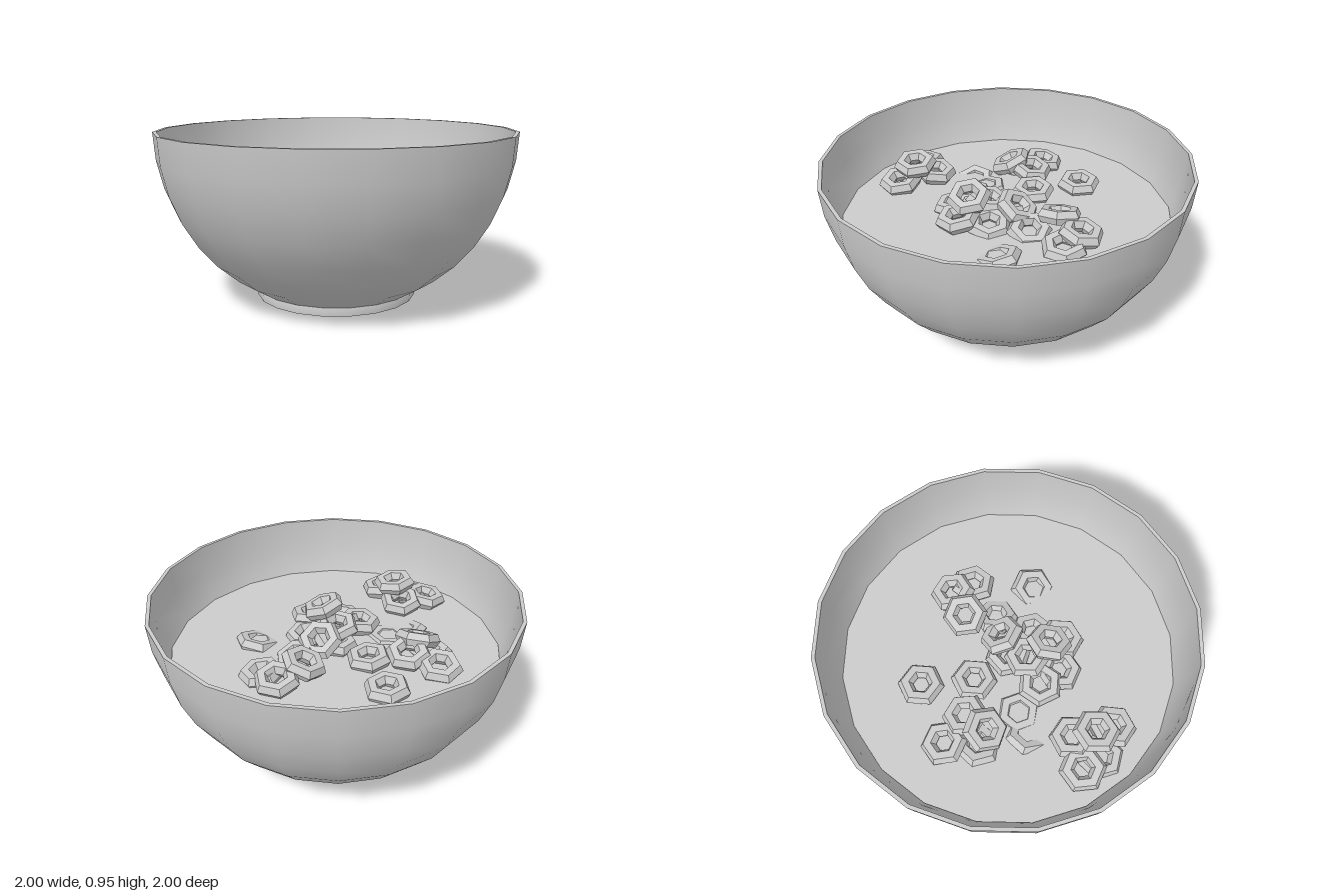
import * as THREE from 'three';

const SIDES = 20;
const RIM_Y = 0.95;
const MILK_Y = 0.615;

export function createModel() {
  const model = new THREE.Group();
  const smooth = new THREE.MeshStandardMaterial({ color: 0xcccccc });
  const faceted = new THREE.MeshStandardMaterial({ color: 0xcccccc, flatShading: true });

  // Profiles run bottom to top on the outside and top to bottom on the inside
  const lathe = (name, points, parent) => {
    const profile = points.map(([r, y]) => new THREE.Vector2(r, y));
    const mesh = new THREE.Mesh(new THREE.LatheGeometry(profile, SIDES), smooth);
    mesh.name = name;
    parent.add(mesh);
  };
  // Hemisphere arc, degrees measured down from the rim
  const arc = (radius, from, to, step) => {
    const points = [];
    for (let a = from; step > 0 ? a <= to : a >= to; a += step) {
      const t = THREE.MathUtils.degToRad(a);
      points.push([radius * Math.cos(t), RIM_Y - radius * Math.sin(t)]);
    }
    return points;
  };

  // Bowl: outer shell, thin rim and inner shell
  const bowl = new THREE.Group();
  bowl.name = 'bowl';
  lathe('bowlOutside', arc(1, 63, 0, -9), bowl);
  lathe('bowlRim', [[1, RIM_Y], [0.98, RIM_Y]], bowl);
  lathe('bowlInside', arc(0.98, 0, 63, 9).concat([[0, 0.07]]), bowl);

  // Foot ring with a very slightly domed underside
  lathe('footSide', [[0.453, 0.012], [0.457, 0.066], [0.44, 0.066]], bowl);
  lathe('footUnderside', [[0, 0], [0.15, 0.004], [0.37, 0.01], [0.453, 0.012]], bowl);
  model.add(bowl);

  // Milk surface
  lathe('milk', [[0.915, MILK_Y], [0, MILK_Y]], model);

  // Cereal rings: x, y, z, lean towards x, lean towards z, spin in degrees
  const rings = [
    // Loose rings at the back
    [0.05, 0.64, -0.50, 0.03, 0.03, 0],
    [-0.05, 0.64, -0.23, 0.05, 0.05, 0],
    [-0.30, 0.64, -0.52, 0.10, -0.15, 10],
    [-0.22, 0.67, -0.36, 0.20, -0.10, 5],
    [-0.34, 0.69, -0.30, -0.40, 0.28, 15],
    [-0.38, 0.60, -0.36, 0.15, 0.10, 20],
    // Half sunk rings
    [-0.44, 0.575, -0.10, 0.22, 0.36, 20],
    [-0.31, 0.588, -0.09, -0.08, 0.02, 25],
    [0.32, 0.60, 0.31, -0.30, 0.05, 10],
    // Right-hand pile
    [0.30, 0.69, -0.12, -0.25, -0.25, 10],
    [0.47, 0.66, -0.12, 0.15, -0.12, 5],
    [0.48, 0.63, 0.01, 0.10, 0.10, 25],
    [0.24, 0.62, 0.04, 0.35, 0.15, 0],
    // Middle pile
    [0.10, 0.69, 0.01, 0.52, -0.32, 10],
    [0.00, 0.64, 0.00, -0.10, -0.10, 15],
    [-0.23, 0.65, 0.08, -0.10, -0.05, 30],
    [-0.07, 0.68, 0.08, 0.10, -0.10, 0],
    [-0.07, 0.75, 0.21, 0.22, 0.32, 0],
    [-0.05, 0.66, 0.30, -0.05, 0.15, 5],
    [-0.20, 0.64, 0.21, -0.15, 0.10, 10],
    [0.07, 0.63, 0.18, 0.20, 0.10, 20],
    // Left-hand pile
    [-0.61, 0.73, 0.21, 0.08, 0.10, 5],
    [-0.57, 0.66, 0.10, 0.15, -0.10, 0],
  ];
  // Two more rings complete the left-hand pile
  const extra = [
    [-0.61, 0.65, 0.32, 0.05, 0.15, 0],
    [-0.74, 0.65, 0.07, -0.12, -0.10, 10],
    [-0.72, 0.62, 0.19, -0.10, 0.05, 20],
  ];
  const ringGeometry = new THREE.TorusGeometry(0.085, 0.042, 6, 6).rotateX(-Math.PI / 2);
  const up = new THREE.Vector3(0, 1, 0);
  const cereal = new THREE.Group();
  cereal.name = 'cereal';
  for (const [x, y, z, leanX, leanZ, spin] of [...rings, ...extra]) {
    const ring = new THREE.Mesh(ringGeometry, faceted);
    ring.name = 'cerealRing';
    ring.position.set(x, y, z);
    ring.quaternion.setFromUnitVectors(up, new THREE.Vector3(leanX, 1, leanZ).normalize());
    ring.rotateY(THREE.MathUtils.degToRad(spin));
    cereal.add(ring);
  }
  model.add(cereal);
  return model;
}
